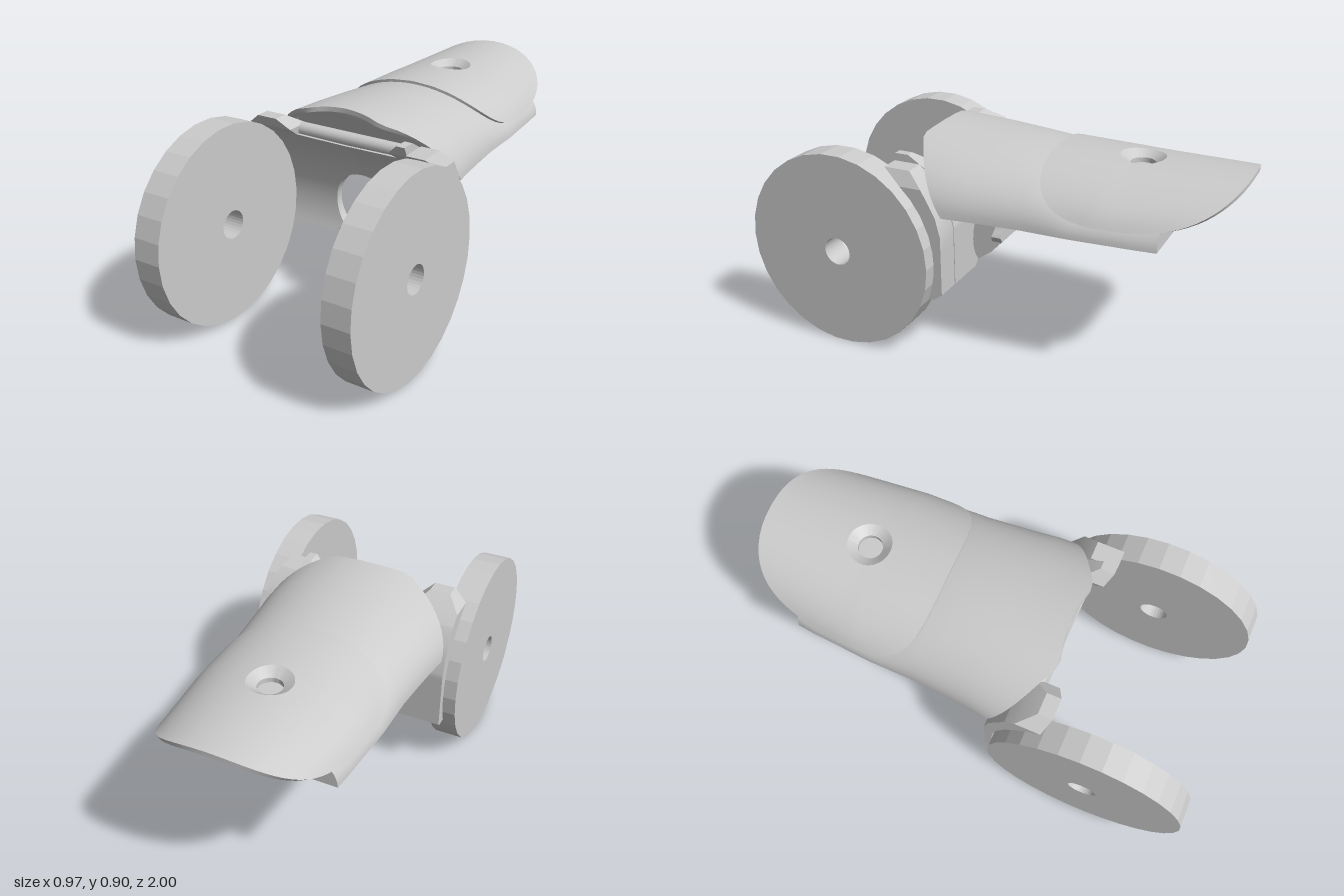
import * as THREE from 'three';
import { toCreasedNormals } from 'three/addons/utils/BufferGeometryUtils.js';

const grey = new THREE.MeshStandardMaterial({ color: 0xcccccc });

// Piecewise linear lookup in a small table of [key, value]
function look(table, k) {
  if (k <= table[0][0]) return table[0][1];
  for (let i = 1; i < table.length; i++) {
    const [k0, v0] = table[i - 1], [k1, v1] = table[i];
    if (k <= k1) return v0 + (v1 - v0) * (k - k0) / (k1 - k0);
  }
  return table[table.length - 1][1];
}

// Skin closed rings of [x, y, z] points and close both ends
function loft(rings, crease = 0.6) {
  const n = rings[0].length, pos = rings.flat(2), idx = [];
  for (let i = 0; i < rings.length - 1; i++) {
    for (let j = 0; j < n; j++) {
      const a = i * n + j, b = i * n + (j + 1) % n;
      idx.push(a, b, b + n, a, b + n, a + n);
    }
  }
  [0, rings.length - 1].forEach((r, end) => {
    const c = pos.length / 3;
    for (let k = 0; k < 3; k++) pos.push(rings[r].reduce((s, p) => s + p[k], 0) / n);
    for (let j = 0; j < n; j++) {
      const a = r * n + j, b = r * n + (j + 1) % n;
      idx.push(c, end ? a : b, end ? b : a);
    }
  });
  const g = new THREE.BufferGeometry();
  g.setAttribute('position', new THREE.Float32BufferAttribute(pos, 3));
  g.setIndex(idx);
  return toCreasedNormals(g, crease);
}

// Shared arch: half-ellipse section standing on BASE
const BASE = 0.63;
const WIDTH = [[-1, 0.335], [-0.74, 0.36], [-0.5, 0.385], [-0.2, 0.388], [0, 0.405], [0.12, 0.42]];
const arch = (t, w, top, z, base = BASE) => [w * Math.sin(t), base + (top - base) * Math.cos(t), z];

function bodyGeometry() {
  const TOP = [[-0.74, 0.82], [-0.66, 0.8], [-0.4, 0.8], [-0.3, 0.845], [-0.21, 0.862], [-0.05, 0.878], [0.12, 0.89], [0.3, 0.902]];
  const FRONT = [[0, 0.3], [0.2, 0.306], [0.44, 0.325], [0.64, 0.285], [Math.PI / 2, 0.12]];
  const ts = Array.from({ length: 33 }, (_, i) => (i / 32 - 0.5) * Math.PI);
  const ring = (zOf, inset = 0) => ts.map(t => {
    const z = zOf(t), zs = inset ? look(FRONT, Math.abs(t)) : z;
    return arch(t, look(WIDTH, zs) - inset, look(TOP, zs) - inset, z, BASE + inset);
  });
  const front = t => look(FRONT, Math.abs(t));
  return loft([
    ring(t => front(t) - 0.08, 0.02), // recessed wall under the hood
    ring(front, 0.02),
    ring(front),
    ...[0.1, 0.02, -0.05, -0.13, -0.21, -0.3, -0.4, -0.66, -0.74].map(z => ring(() => z)),
  ]);
}

function coverGeometry() {
  const TOP = [[-1, 0.866], [-0.55, 0.864], [-0.2, 0.874]];
  const N = 72, ZC = -0.56, HOLE = 0.05, RIM = 0.09;
  const angles = Array.from({ length: N }, (_, i) => i / N * Math.PI * 2);
  const pow = (v, p) => Math.sign(v) * Math.abs(v) ** p;
  // k runs from the countersink rim (0) to the outline (1)
  const ring = (k, drop = 0) => angles.map(a => {
    const c = Math.cos(a), s = Math.sin(a), p = s > 0 ? 2 / 3 : 2 / 2.3;
    const t0 = Math.asin(RIM * c / look(WIDTH, ZC)), z0 = ZC + RIM * s;
    const t1 = 1.32 * pow(c, p), z1 = ZC + (s > 0 ? 0.345 : 0.44) * pow(s, p);
    const t = t0 + (t1 - t0) * k, z = z0 + (z1 - z0) * k;
    return arch(t, look(WIDTH, z) + 0.004 - drop, look(TOP, z) - drop, z);
  });
  const flat = (r, y) => angles.map(a => [r * Math.cos(a), y, ZC + r * Math.sin(a)]);
  const steps = Array.from({ length: 11 }, (_, i) => i / 10);
  return loft([
    flat(HOLE, 0.815), flat(HOLE, 0.835),
    ...steps.map(k => ring(k)),
    ...steps.slice().reverse().map(k => ring(k, 0.018)),
  ]);
}

// Curved bracket: z limits by height, hugging the wheel rims
const BACK = [[0.265, 0.16], [0.295, 0.12], [0.55, 0.12], [0.63, 0.14], [0.74, 0.2], [0.8, 0.265], [0.83, 0.32]];
const hug = y => Math.min(0.38, 0.578 - Math.sqrt(Math.max(0, 0.1806 - (y - 0.4225) ** 2)));
const slab = (rows, fwd = 0) => loft(rows.map(([y, x0, x1]) => {
  const zf = hug(y) + fwd, zb = look(BACK, y);
  return [[x0, y, zf], [x1, y, zf], [x1, y, zb], [x0, y, zb]];
}), 0.45);

function bracketRows() {
  // Inner edge: notch mouth, round cut-out, solid web, then the corner wing
  const rows = [[0.285, 0.14], [0.295, 0.13], [0.32, 0.11]];
  for (let i = 0; i <= 16; i++) {
    const a = -0.72 + (Math.PI / 2 + 0.72) * i / 16;
    rows.push([0.427 + 0.15 * Math.sin(a), 0.15 * Math.cos(a)]);
  }
  rows.push([0.63, 0], [0.69, 0], [0.745, 0], [0.75, 0.235], [0.785, 0.23], [0.83, 0.28]);
  return rows;
}

function wheelGeometry() {
  const s = new THREE.Shape().absarc(0, 0, 0.4225, 0, Math.PI * 2);
  s.holes.push(new THREE.Path().absarc(0, 0, 0.06, 0, Math.PI * 2, true));
  return new THREE.ExtrudeGeometry(s, { depth: 0.12, bevelEnabled: false, curveSegments: 15 })
    .translate(0, 0, -0.06).rotateY(Math.PI / 2);
}

export function createModel() {
  const model = new THREE.Group();
  const add = (name, geometry, x = 0, y = 0, z = 0) => {
    const m = new THREE.Mesh(geometry, grey);
    m.name = name;
    m.position.set(x, y, z);
    model.add(m);
    return m;
  };

  // Wheels
  const wheel = wheelGeometry();
  add('leftWheel', wheel, 0.425, 0.4225, 0.578);
  add('rightWheel', wheel, -0.425, 0.4225, 0.578);

  // Arched body and the cover laid over its rear
  add('body', bodyGeometry());
  add('cover', coverGeometry());

  // Bracket halves, side flange and rounded top lip
  const rows = bracketRows();
  const wing = (y, x) => y > 0.8 ? 0.37 : x;
  add('leftBracket', slab(rows.map(([y, w]) => [y, w, 0.315])));
  add('rightBracket', slab(rows.map(([y, w]) => [y, -wing(y, 0.43), -w])));
  add('sideFlange', slab([0.265, 0.295, 0.36, 0.42, 0.48, 0.55, 0.63, 0.69, 0.74, 0.8]
    .map(y => [y, 0.32, y > 0.78 ? 0.4 : 0.43])));
  add('topLip', new THREE.CapsuleGeometry(0.028, 0.5, 6, 16).rotateZ(Math.PI / 2), 0, 0.765, 0.27);

  return model;
}
